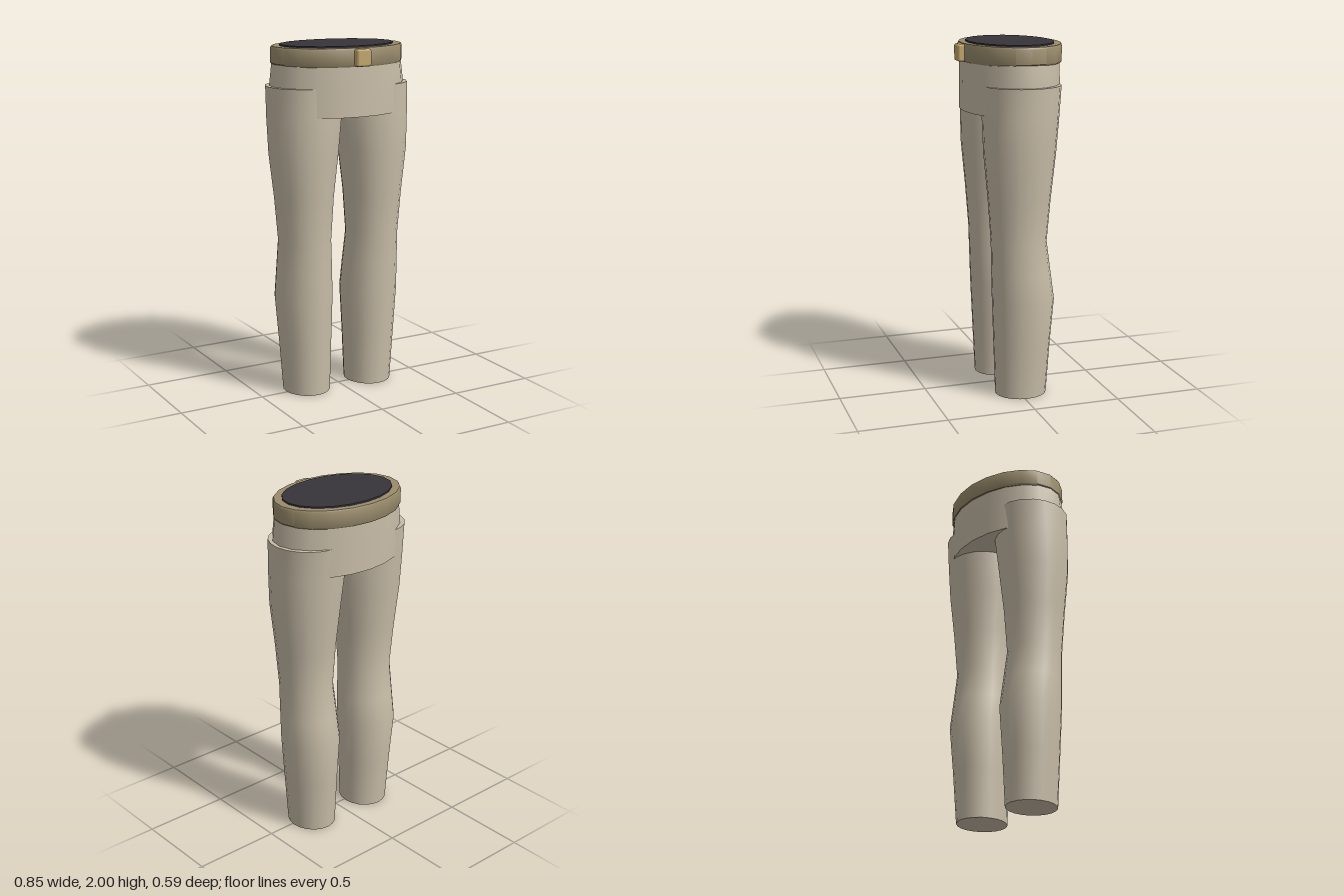
import * as THREE from 'three';
import { toCreasedNormals } from 'three/addons/utils/BufferGeometryUtils.js';
import { RoundedBoxGeometry } from 'three/addons/geometries/RoundedBoxGeometry.js';

const SIDES = 20;
const cloth = new THREE.MeshStandardMaterial({ color: 0xc8bda8 });
const leather = new THREE.MeshStandardMaterial({ color: 0x9a8c6c });
const brass = new THREE.MeshStandardMaterial({ color: 0xc2a66e });
const dark = new THREE.MeshStandardMaterial({ color: 0x37333a });

// Capped loft through elliptical rings: [y, xMin, xMax, zBack, zFront], bottom to top
function loft(rings) {
  const n = rings.length - 1;
  const geo = new THREE.CylinderGeometry(1, 1, 1, SIDES, n);
  const p = geo.attributes.position;
  for (let i = 0; i < p.count; i++) {
    const [y, x0, x1, z0, z1] = rings[Math.round((p.getY(i) + 0.5) * n)];
    p.setXYZ(i,
      (x0 + x1) / 2 + p.getX(i) * (x1 - x0) / 2,
      y,
      (z0 + z1) / 2 + p.getZ(i) * (z1 - z0) / 2);
  }
  return toCreasedNormals(geo, 0.65);
}

function add(group, name, geo, material) {
  const mesh = new THREE.Mesh(geo, material);
  mesh.name = name;
  group.add(mesh);
  return mesh;
}

// Leg rings on the +x side, hem to hip
const LEG = [
  [0, 0.07, 0.338, -0.163, 0.132],
  [0.3, 0.06, 0.36, -0.182, 0.143],
  [0.56, 0.05, 0.38, -0.203, 0.152],
  [0.72, 0.058, 0.376, -0.18, 0.156],
  [0.9, 0.07, 0.371, -0.155, 0.16],
  [1.15, 0.055, 0.391, -0.176, 0.178],
  [1.4, 0.026, 0.419, -0.203, 0.2],
  [1.6, 0.004, 0.425, -0.222, 0.205],
  [1.775, 0, 0.425, -0.235, 0.205],
];

export function createModel() {
  const model = new THREE.Group();
  model.name = 'trousers';

  // Legs, mirrored by swapping the x limits
  add(model, 'leftLeg', loft(LEG), cloth);
  add(model, 'rightLeg', loft(LEG.map(([y, a, b, c, d]) => [y, -b, -a, c, d])), cloth);

  // Hips
  add(model, 'hips', loft([
    [1.615, -0.4, 0.4, -0.277, 0.257],
    [1.78, -0.404, 0.404, -0.28, 0.257],
    [1.9, -0.388, 0.388, -0.28, 0.254],
  ]), cloth);

  // Belt: closed ring profile, stretched to an ellipse
  const profile = [
    [0.345, 1.89], [0.384, 1.89], [0.392, 1.9], [0.392, 1.982],
    [0.386, 1.992], [0.335, 1.992], [0.335, 1.9], [0.345, 1.89],
  ].map(([r, y]) => new THREE.Vector2(r, y));
  const beltGeo = new THREE.LatheGeometry(profile, SIDES);
  beltGeo.scale(1, 1, 0.712).translate(0, 0, -0.015);
  add(model, 'belt', toCreasedNormals(beltGeo, 0.65), leather);

  // Dark waist opening
  add(model, 'waistOpening', loft([
    [1.885, -0.34, 0.34, -0.252, 0.222],
    [2, -0.34, 0.34, -0.252, 0.222],
  ]), dark);

  // Buckle
  const buckle = add(model, 'buckle', new RoundedBoxGeometry(0.09, 0.095, 0.05, 1, 0.012), brass);
  buckle.position.set(0, 1.94, 0.27);

  return model;
}
